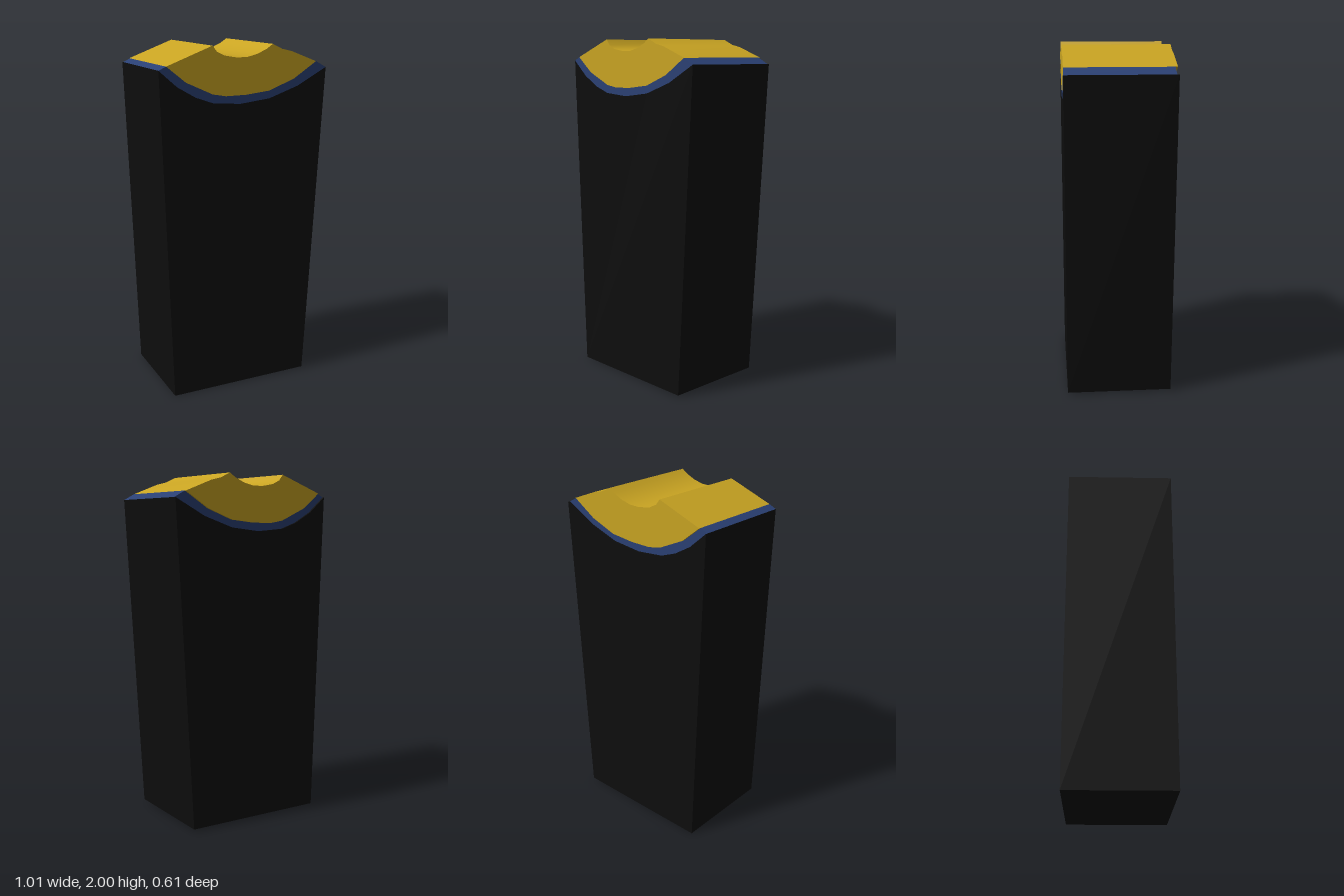
import * as THREE from 'three';
import { toCreasedNormals } from 'three/addons/utils/BufferGeometryUtils.js';

const BACK = -0.303, FRONT = 0.303;

const material = (name, color) => {
  const m = new THREE.MeshStandardMaterial({ color });
  m.name = name;
  return m;
};

// Extrude an x/y outline between two depths, smoothing only shallow bends
function slab(name, outline, mat, back, front) {
  const shape = new THREE.Shape(outline.map(([x, y]) => new THREE.Vector2(x, y)));
  const geometry = new THREE.ExtrudeGeometry(shape, { depth: front - back, bevelEnabled: false });
  geometry.translate(0, 0, back);
  const mesh = new THREE.Mesh(toCreasedNormals(geometry, 0.5), mat);
  mesh.name = name;
  return mesh;
}

export function createModel() {
  const black = material('black', 0x0d0d0d);
  const blue = material('navy blue', 0x2a4074);
  const gold = material('gold', 0xc9a422);

  // Curves shared by neighbouring parts, left to right in x
  const seat = [[-0.508, 1.88], [-0.405, 1.79], [-0.3, 1.73], [-0.2, 1.695], [-0.035, 1.682],
    [0.145, 1.703], [0.325, 1.765], [0.505, 1.862]];
  const lining = [[-0.465, 1.9], [-0.355, 1.812], [-0.2, 1.742], [-0.12, 1.728], [0, 1.73],
    [0.145, 1.746], [0.3, 1.806], [0.44, 1.897]];
  const crest = [[-0.2, 2], [-0.175, 1.968], [-0.13, 1.946], [-0.055, 1.933], [0.01, 1.935],
    [0.07, 1.95], [0.125, 1.975], [0.162, 2], [0.22, 1.972], [0.283, 1.957]];

  const group = new THREE.Group();
  group.name = 'taperedBlock';
  group.add(
    // Tapered body with a dished top
    slab('body', [[-0.446, 0], [0.402, 0.012], ...[...seat].reverse()], black, BACK, FRONT),
    // Thin curved layer, stopping just short of the back
    slab('liningStrip', [...seat, ...[...lining].reverse()], blue, BACK + 0.013, FRONT),
    // Cap with a rounded groove running front to back
    slab('groovedCap', [...lining, ...[...crest].reverse()], gold, BACK, FRONT),
  );
  return group;
}
